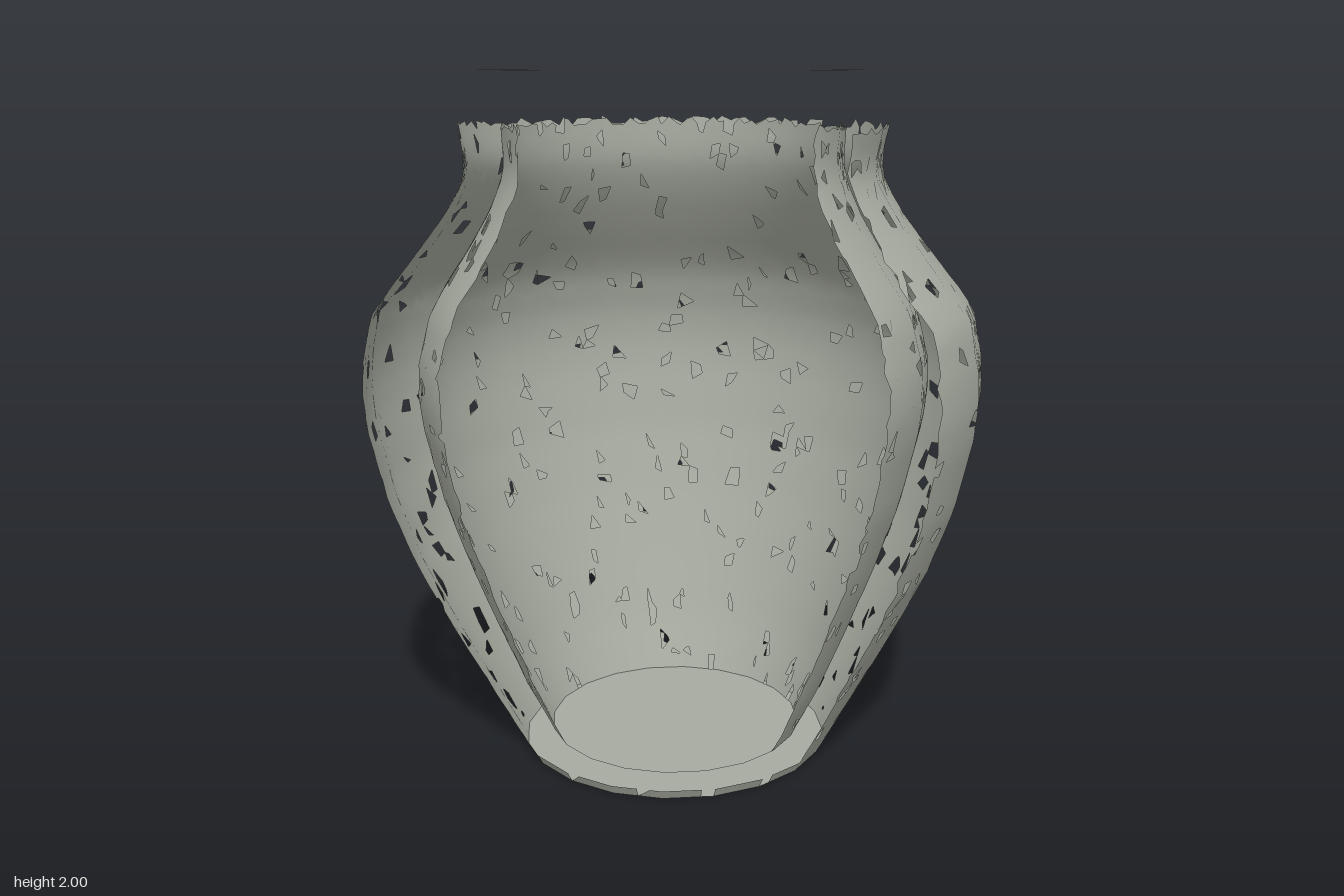
import * as THREE from 'three';

const SIDES = 20;
const AXIS_Z = 0.08;
const rad = THREE.MathUtils.degToRad;

// [radius, height] profiles of the two skins
const OUTER = [[0.46, 0], [0.477, 0.03], [0.568, 0.2], [0.673, 0.4], [0.772, 0.6], [0.844, 0.8], [0.889, 1],
  [0.9, 1.1], [0.895, 1.2], [0.869, 1.33], [0.818, 1.4], [0.737, 1.5], [0.66, 1.6], [0.605, 1.69], [0.592, 1.75],
  [0.61, 1.845]];
const INNER = [[0.38, 0.038], [0.46, 0.2], [0.542, 0.4], [0.62, 0.6], [0.687, 0.8], [0.733, 1], [0.745, 1.1],
  [0.74, 1.2], [0.705, 1.33], [0.665, 1.4], [0.597, 1.5], [0.537, 1.6], [0.497, 1.69], [0.485, 1.75], [0.49, 1.845]];

function seeded(seed) {
  return () => (seed = (seed * 16807) % 2147483647) / 2147483647;
}

function radiusAt(profile, y) {
  let i = 1;
  while (i < profile.length - 1 && profile[i][1] < y) i++;
  const [r0, y0] = profile[i - 1], [r1, y1] = profile[i];
  return r0 + (r1 - r0) * (y - y0) / (y1 - y0);
}

// Radius factor that turns the circle into a polygon
function facet(t) {
  const step = 2 * Math.PI / SIDES;
  return Math.cos(step / 2) / Math.cos(t - Math.floor(t / step) * step - step / 2);
}

// Gives a finely divided round geometry the same polygon outline as the walls
function toPolygon(geometry) {
  const p = geometry.attributes.position;
  for (let i = 0; i < p.count; i++) {
    const f = facet(Math.atan2(-p.getZ(i), p.getX(i)));
    p.setXYZ(i, p.getX(i) * f, p.getY(i), p.getZ(i) * f);
  }
  return geometry;
}

// Knocks a share of small chips out of a gridded geometry
function chip(geometry, share, rand) {
  const faces = geometry.index.array, kept = [];
  for (let q = 0; q < faces.length; q += 6) {
    const chipped = rand() < share;
    if (!chipped) kept.push(...faces.slice(q, q + 3));
    if (!chipped || rand() < 0.35) kept.push(...faces.slice(q + 3, q + 6));
  }
  geometry.setIndex(kept);
  return geometry;
}

// Partial wall with ragged edges, rounded shading and missing chips
function wallGeometry(profile, endAngle, seed) {
  const rand = seeded(seed);
  const cols = Math.round(endAngle / 0.045), rows = 52;
  const yMin = profile[0][1], yMax = profile[profile.length - 1][1];
  const positions = [], normals = [], index = [];
  const normal = new THREE.Vector3();
  for (let j = 0; j <= rows; j++) {
    for (let i = 0; i <= cols; i++) {
      const t = (i + (rand() - 0.5) * 0.85) / cols * endAngle;
      const v = j === 0 ? 0 : (j + (rand() - 0.5) * 0.85) / rows;
      const y = yMin + v * (yMax - yMin);
      const r = radiusAt(profile, y) * facet(t);
      positions.push(r * Math.cos(t), y, -r * Math.sin(t));
      const slope = (radiusAt(profile, y + 0.04) - radiusAt(profile, y - 0.04)) / 0.08;
      normal.set(Math.cos(t), -slope, -Math.sin(t)).normalize();
      normals.push(normal.x, normal.y, normal.z);
    }
  }
  for (let j = 0; j < rows; j++) {
    for (let i = 0; i < cols; i++) {
      const a = j * (cols + 1) + i, b = a + 1, c = a + cols + 1, d = c + 1;
      index.push(a, b, d, a, d, c);
    }
  }
  const geometry = new THREE.BufferGeometry();
  geometry.setAttribute('position', new THREE.Float32BufferAttribute(positions, 3));
  geometry.setAttribute('normal', new THREE.Float32BufferAttribute(normals, 3));
  geometry.setIndex(index);
  return chip(geometry, 0.06, rand);
}

export function createModel() {
  const vase = new THREE.Group();
  vase.name = 'brokenVase';
  const glaze = new THREE.MeshStandardMaterial({ color: 0xa6aa9f, side: THREE.DoubleSide });

  const add = (name, geometry, y = 0) => {
    const mesh = new THREE.Mesh(geometry, glaze);
    mesh.name = name;
    mesh.position.set(0, y, AXIS_Z);
    vase.add(mesh);
  };

  // Two skins of the body, both open at the front
  add('outerWall', wallGeometry(OUTER, rad(234), 7));
  add('innerWall', wallGeometry(INNER, rad(252), 91));

  // Full discs of the base and the floor inside
  add('baseUnderside', new THREE.CircleGeometry(0.46, SIDES).rotateX(Math.PI / 2));
  add('innerFloor', new THREE.CircleGeometry(0.38, SIDES).rotateX(-Math.PI / 2), 0.038);

  // Low remnant of the wall around the foot
  const foot = toPolygon(new THREE.CylinderGeometry(0.476, 0.46, 0.03, 4 * SIDES, 1, true));
  add('footEdge', chip(foot, 0.08, seeded(31)), 0.015);

  // Flat chipped lip ring above the broken neck
  const lip = toPolygon(new THREE.RingGeometry(0.49, 0.592, 5 * SIDES, 3).rotateX(-Math.PI / 2));
  add('lipRing', chip(lip, 0.06, seeded(53)), 2);

  return vase;
}
